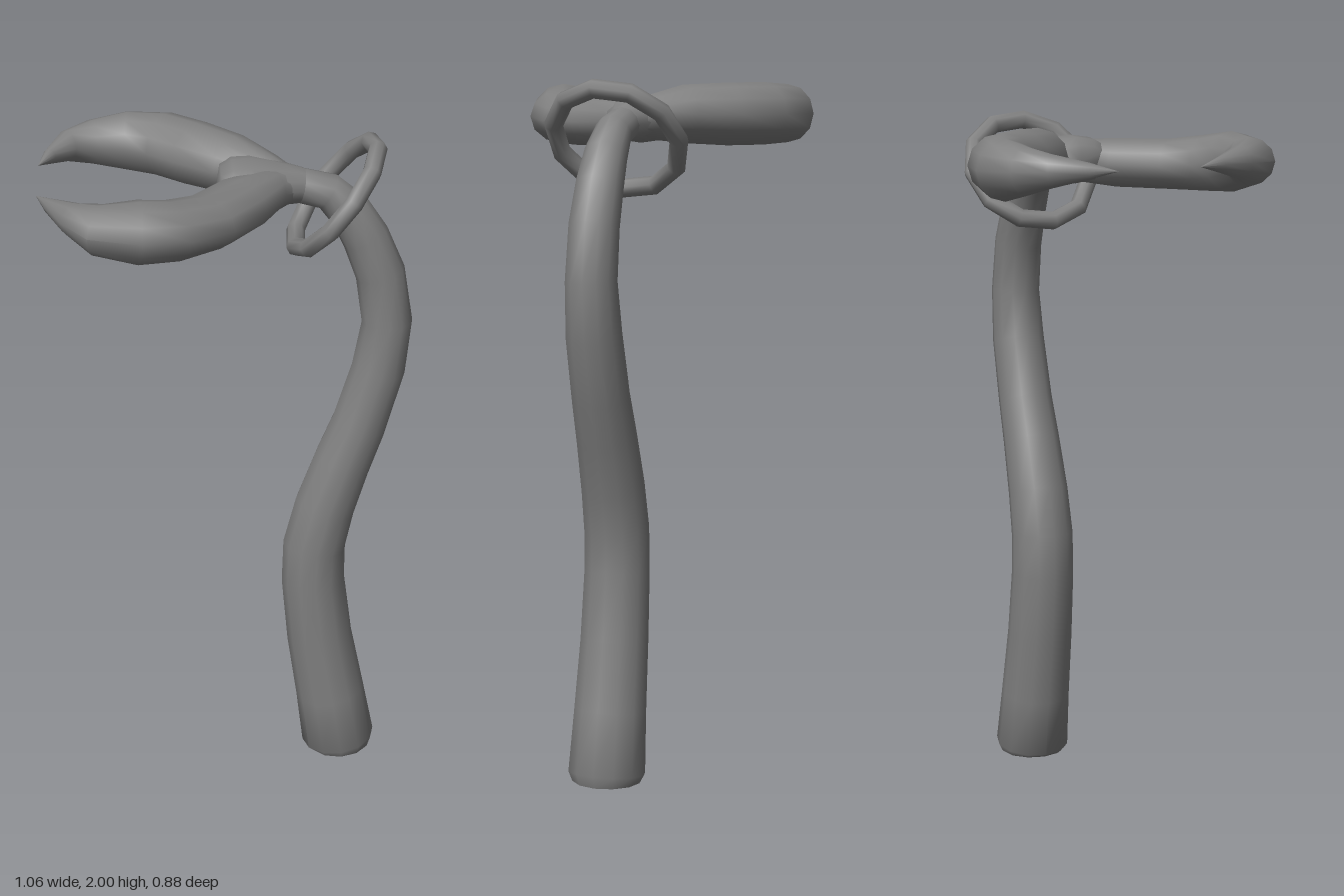
import * as THREE from 'three';
import { toCreasedNormals } from 'three/addons/utils/BufferGeometryUtils.js';

const material = new THREE.MeshStandardMaterial({ color: 0x808080 });

// Sweeps an elliptical section through stations [x, y, z, radius along side, other radius].
function sweep(stations, sideAxis, sides = 12) {
  const points = stations.map(([x, y, z]) => new THREE.Vector3(x, y, z));
  const last = points.length - 1;
  const positions = [], index = [];
  points.forEach((p, i) => {
    const t = points[Math.min(i + 1, last)].clone().sub(points[Math.max(i - 1, 0)]).normalize();
    const side = sideAxis.clone().addScaledVector(t, -sideAxis.dot(t)).normalize();
    const normal = t.clone().cross(side);
    const [, , , rs, rn = rs] = stations[i];
    for (let j = 0; j < sides; j++) {
      const a = (j / sides) * Math.PI * 2;
      const v = p.clone().addScaledVector(side, rs * Math.cos(a)).addScaledVector(normal, rn * Math.sin(a));
      positions.push(v.x, Math.max(v.y, 0), v.z);
      if (i < last) {
        const k = (j + 1) % sides, r = i * sides, s = r + sides;
        index.push(r + j, r + k, s + k, r + j, s + k, s + j);
      }
    }
  });
  const geometry = new THREE.BufferGeometry();
  geometry.setAttribute('position', new THREE.Float32BufferAttribute(positions, 3));
  geometry.setIndex(index);
  return toCreasedNormals(geometry, 0.9);
}

function add(group, name, geometry) {
  const mesh = new THREE.Mesh(geometry, material);
  mesh.name = name;
  group.add(mesh);
  return mesh;
}

export function createModel() {
  const group = new THREE.Group();
  const yAxis = new THREE.Vector3(0, 1, 0), zAxis = new THREE.Vector3(0, 0, 1);

  // S-curved shaft, bending over at the top into the neck
  const shaft = [
    [0.347, 0, 0], [0.347, 0.002, 0.1], [0.346, 0.025, 0.112], [0.317, 0.2, 0.105],
    [0.281, 0.4, 0.099], [0.258, 0.6, 0.095], [0.26, 0.72, 0.094], [0.29, 0.85, 0.091],
    [0.34, 1.0, 0.086], [0.385, 1.12, 0.082], [0.437, 1.3, 0.079], [0.457, 1.45, 0.073],
    [0.433, 1.6, 0.071], [0.388, 1.71, 0.067], [0.34, 1.79, 0.061], [0.28, 1.848, 0.053],
    [0.2, 1.868, 0.05], [0.1, 1.875, 0.05],
  ].map(([x, y, r]) => [x, y, -0.02, r]);
  add(group, 'shaft', sweep(shaft, zAxis));

  // Flared fork that fills the crotch between the prongs
  add(group, 'fork', sweep([
    [0.26, 1.855, -0.02, 0.04, 0.04], [0.2, 1.868, -0.02, 0.052, 0.051], [0.13, 1.877, -0.02, 0.09, 0.06],
    [0.06, 1.88, -0.02, 0.13, 0.07], [0.01, 1.88, -0.02, 0.12, 0.066], [-0.022, 1.88, -0.02, 0.09, 0.045],
    [-0.032, 1.88, -0.02, 0, 0],
  ], zAxis));

  // Two hooked prongs: height radius first, width radius second
  add(group, 'backProng', sweep([
    [0.2, 1.867, -0.025, 0.03, 0.03], [0.12, 1.883, -0.055, 0.06, 0.06],
    [0.02, 1.892, -0.135, 0.083, 0.092], [-0.08, 1.89, -0.237, 0.09, 0.1], [-0.168, 1.89, -0.32, 0.09, 0.1],
    [-0.275, 1.888, -0.36, 0.085, 0.081], [-0.375, 1.893, -0.338, 0.065, 0.062],
    [-0.447, 1.897, -0.297, 0.045, 0.04], [-0.495, 1.898, -0.21, 0.022, 0.02], [-0.527, 1.897, -0.14, 0],
  ], yAxis));
  add(group, 'frontProng', sweep([
    [0.2, 1.867, -0.015, 0.03, 0.03], [0.12, 1.872, 0.015, 0.06, 0.06],
    [0.02, 1.868, 0.115, 0.07, 0.1], [-0.075, 1.867, 0.237, 0.072, 0.103], [-0.17, 1.875, 0.312, 0.08, 0.097],
    [-0.262, 1.885, 0.343, 0.085, 0.094], [-0.365, 1.893, 0.337, 0.068, 0.075],
    [-0.43, 1.898, 0.272, 0.046, 0.044], [-0.49, 1.9, 0.18, 0.022, 0.02], [-0.53, 1.9, 0.1, 0],
  ], yAxis));

  // Tilted ring hanging around the neck
  const ring = add(group, 'ring', new THREE.TorusGeometry(0.182, 0.027, 8, 11));
  ring.position.set(0.302, 1.829, -0.037);
  ring.rotation.set(0, Math.PI / 2, -0.67, 'ZYX');

  return group;
}
